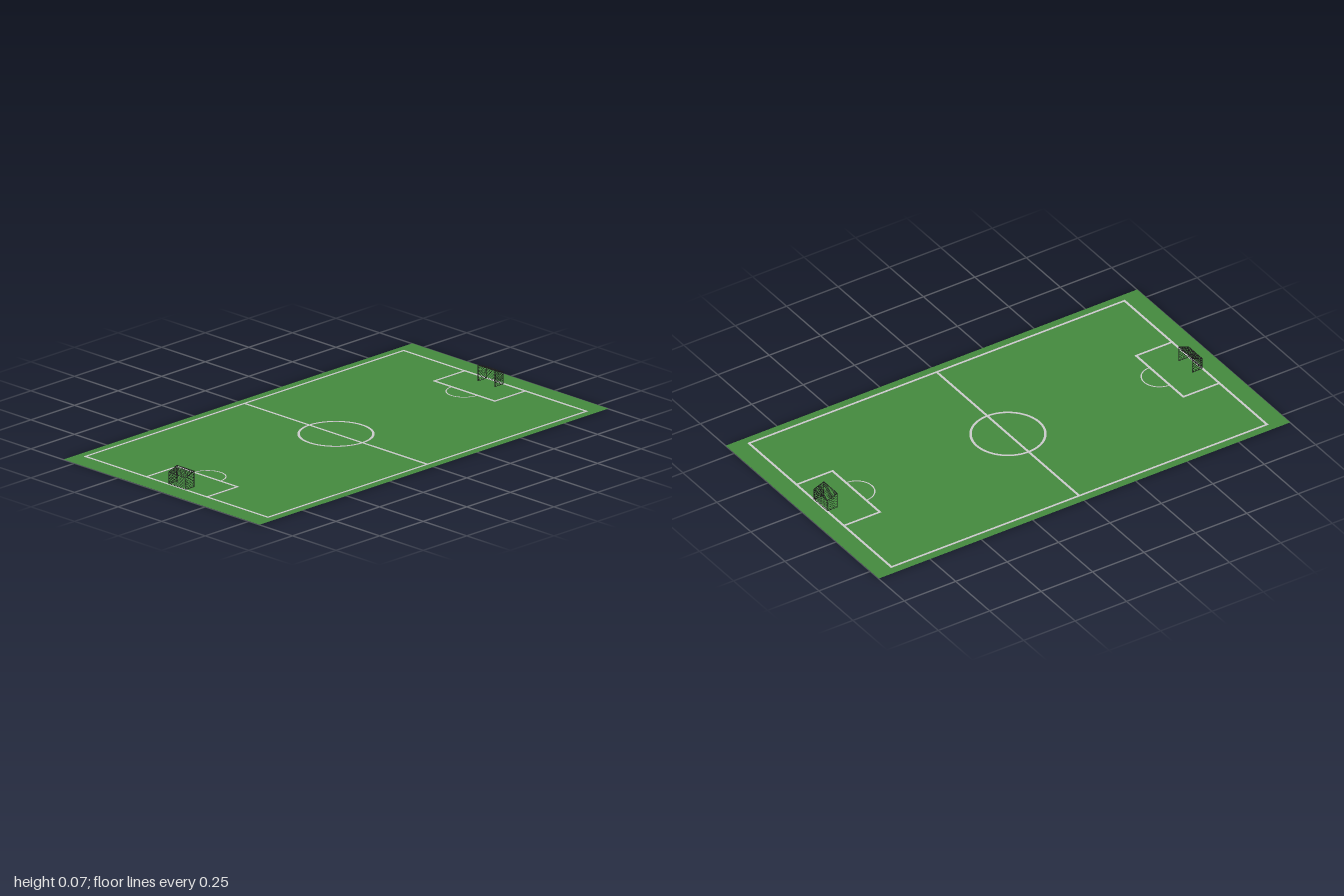
import * as THREE from 'three';
import { mergeGeometries } from 'three/addons/utils/BufferGeometryUtils.js';

const grass = new THREE.MeshStandardMaterial({ color: 0x448a3e, side: THREE.DoubleSide });
const paint = new THREE.MeshStandardMaterial({ color: 0xcccccc });
const dark = new THREE.MeshStandardMaterial({ color: 0x1c1c1c });

const LINE = 0.01, THICK = 0.002;   // painted line width and thickness
const X = 0.913, Z = 0.524;         // half size of the marked field

function add(parent, name, geometry, material) {
  const mesh = new THREE.Mesh(geometry, material);
  mesh.name = name;
  parent.add(mesh);
  return mesh;
}

// Painted strip between two ground points along x or z
function strip(x1, z1, x2, z2) {
  const g = new THREE.BoxGeometry(Math.abs(x2 - x1) + LINE, THICK, Math.abs(z2 - z1) + LINE);
  return g.translate((x1 + x2) / 2, THICK / 2, (z1 + z2) / 2);
}

// Painted arc lying on the ground
function arc(radius, width, from, to) {
  const s = new THREE.Shape();
  s.absarc(0, 0, radius + width / 2, from, to, false);
  s.absarc(0, 0, radius - width / 2, to, from, true);
  const g = new THREE.ExtrudeGeometry(s, { depth: THICK, bevelEnabled: false, curveSegments: 48 });
  return g.rotateX(-Math.PI / 2);
}

// Thin round bar between two points
function bar(a, b, radius, sides) {
  const d = b.clone().sub(a);
  const g = new THREE.CylinderGeometry(radius, radius, d.length(), sides);
  g.applyQuaternion(new THREE.Quaternion().setFromUnitVectors(
    new THREE.Vector3(0, 1, 0), d.clone().normalize()));
  const m = a.clone().add(b).multiplyScalar(0.5);
  return g.translate(m.x, m.y, m.z);
}

// Diagonal cords in both directions across a four-cornered panel
function netPanel(a, b, c, d, step = 0.0125) {
  const W = a.distanceTo(b), H = a.distanceTo(d), cords = [];
  const at = (s, t) => a.clone().lerp(b, s / W).lerp(d.clone().lerp(c, s / W), t / H);
  for (let k = -H + step / 2; k < W; k += step) {
    const s1 = Math.max(0, k), s2 = Math.min(W, H + k);
    if (s2 - s1 < 0.001) continue;
    cords.push(bar(at(s1, s1 - k), at(s2, s2 - k), 0.0006, 4));
    cords.push(bar(at(W - s1, s1 - k), at(W - s2, s2 - k), 0.0006, 4));
  }
  return cords;
}

// Goal on the +x end, opening toward the centre
function makeGoal() {
  const goal = new THREE.Group();
  const corners = z => [[0.863, 0.001], [0.863, 0.07], [0.911, 0.052], [0.911, 0.001]]
    .map(([x, y]) => new THREE.Vector3(x, y, z));
  const p = corners(-0.049), q = corners(0.049);
  const frame = [];
  for (let i = 0; i < 4; i++) {
    const j = (i + 1) % 4;
    frame.push(bar(p[i], p[j], 0.0014, 8), bar(q[i], q[j], 0.0014, 8));
    if (i > 0) frame.push(bar(p[i], q[i], 0.0014, 8));
  }
  add(goal, 'goalFrame', mergeGeometries(frame), dark);
  add(goal, 'goalNet', mergeGeometries([
    ...netPanel(p[1], q[1], q[2], p[2], 0.008),   // roof
    ...netPanel(p[3], q[3], q[2], p[2]),          // back
    ...netPanel(p[0], p[3], p[2], p[1]),          // sides
    ...netPanel(q[0], q[3], q[2], q[1]),
  ]), dark);
  return goal;
}

export function createModel() {
  const model = new THREE.Group();
  model.name = 'footballPitch';

  // Grass sheet, with the lines showing on both faces
  const sheet = new THREE.PlaneGeometry(2, 1.126).rotateX(-Math.PI / 2).translate(0, THICK / 2, 0);
  add(model, 'grass', sheet, grass);

  // Outer boundary, halfway line and centre circle
  add(model, 'boundaryLines', mergeGeometries([
    strip(-X, -Z, X, -Z), strip(-X, Z, X, Z),
    strip(-X, -Z, -X, Z), strip(X, -Z, X, Z),
  ]), paint);
  add(model, 'halfwayLine', strip(0, -Z, 0, Z), paint);
  add(model, 'centreCircle', arc(0.152, LINE, 0, Math.PI * 2), paint);

  // Penalty box, its arc and the goal at each end
  for (const [side, turn] of [['left', 0], ['right', Math.PI]]) {
    const end = new THREE.Group();
    end.name = side + 'End';
    end.rotation.y = turn;
    add(end, 'penaltyBox', mergeGeometries([
      strip(0.738, -0.174, X, -0.174), strip(0.738, 0.174, X, 0.174),
      strip(0.738, -0.174, 0.738, 0.174),
    ]), paint);
    add(end, 'penaltyArc', arc(0.074, 0.005, Math.PI / 2, Math.PI * 1.5), paint)
      .position.x = 0.736;
    const goal = makeGoal();
    goal.name = 'goal';
    end.add(goal);
    model.add(end);
  }
  return model;
}
